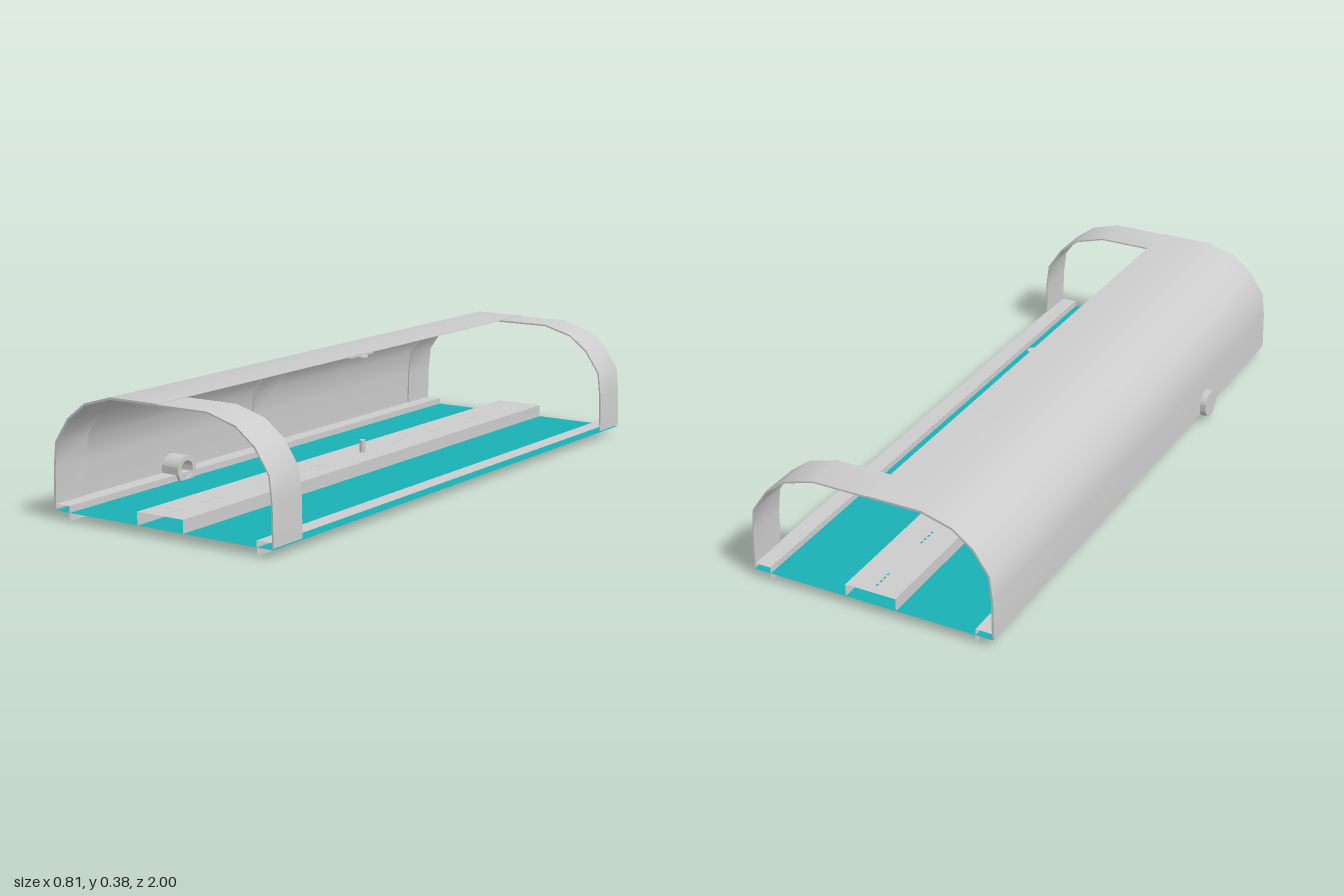
import * as THREE from 'three';
import { toCreasedNormals } from 'three/addons/utils/BufferGeometryUtils.js';

const grey = new THREE.MeshStandardMaterial({ color: 0xcccccc, side: THREE.DoubleSide });
const teal = new THREE.MeshStandardMaterial({ color: 0x1ab0b5, side: THREE.DoubleSide });
const dark = new THREE.MeshStandardMaterial({ color: 0x111111, side: THREE.DoubleSide });

const CX = 0.0075; // centre line of the frame
// half of the arch, from foot to crown: distance from centre line, height
const HALF = [[0.396, 0.03], [0.394, 0.15], [0.385, 0.23], [0.336, 0.303], [0.271, 0.353], [0.173, 0.381]];
const LEFT_HALF = [...HALF.map(([u, y]) => [CX - u, y]), [0.005, 0.381]];
const FULL = [...HALF.map(([u, y]) => [CX - u, y]), ...HALF.map(([u, y]) => [CX + u, y]).reverse()];

// move a path inward by d
function inset(path, d) {
  return path.map(([x, y], i) => {
    const a = path[Math.max(i - 1, 0)], b = path[Math.min(i + 1, path.length - 1)];
    const dx = b[0] - a[0], dy = b[1] - a[1], len = Math.hypot(dx, dy);
    return new THREE.Vector2(x + (dy / len) * d, y - (dx / len) * d);
  });
}

// curved sheet following a path, between two inset depths and two z positions
function band(path, d0, d1, z0, z1) {
  const shape = new THREE.Shape([...inset(path, d0), ...inset(path, d1).reverse()]);
  const geo = new THREE.ExtrudeGeometry(shape, { depth: z1 - z0, bevelEnabled: false });
  return toCreasedNormals(geo.translate(0, 0, z0), 0.65);
}

export function createModel() {
  const group = new THREE.Group();
  const add = (name, geo, mat = grey) => {
    const mesh = new THREE.Mesh(geo, mat);
    mesh.name = name;
    group.add(mesh);
    return mesh;
  };
  // thin sheets running the full length
  const flat = (name, width, x, y, mat) =>
    add(name, new THREE.PlaneGeometry(width, 2).rotateX(-Math.PI / 2).translate(x, y, 0), mat);
  const upright = (name, x, y0, y1) =>
    add(name, new THREE.PlaneGeometry(2, y1 - y0).rotateY(Math.PI / 2).translate(x, (y0 + y1) / 2, 0));

  // base plate
  flat('basePlate', 0.784, CX, 0.025, teal);

  // edge rails and channel walls, mirrored about the centre line
  for (const [side, s] of [['left', 1], ['right', -1]]) {
    flat(side + 'RailFlange', 0.0545, CX + s * 0.365, 0.045);
    upright(side + 'RailLeg', CX + s * 0.3375, 0, 0.045);
    upright(side + 'ChannelWall', CX + s * 0.0825, 0.025, 0.065);
  }

  // channel top with groups of small slots
  const top = new THREE.Shape();
  top.moveTo(-0.0825, -1).lineTo(0.0825, -1).lineTo(0.0825, 1).lineTo(-0.0825, 1).closePath();
  for (const z of [-0.93, -0.77, -0.5, -0.25, 0.2, 0.42, 0.68, 0.93]) {
    for (let i = 0; i < 4; i++) {
      const c = z + (i - 1.5) * 0.02;
      const slot = new THREE.Path();
      slot.moveTo(-0.003, c - 0.005).lineTo(-0.003, c + 0.005).lineTo(0.003, c + 0.005).lineTo(0.003, c - 0.005).closePath();
      top.holes.push(slot);
    }
  }
  add('channelTop', new THREE.ShapeGeometry(top).rotateX(-Math.PI / 2).translate(CX, 0.065, 0));

  // centre pin and the small bush above it
  add('centrePin', new THREE.CylinderGeometry(0.0095, 0.0095, 0.08, 16).translate(CX, 0.065, 0));
  add('ceilingBush', new THREE.CylinderGeometry(0.017, 0.017, 0.005, 16).translate(CX, 0.3735, 0));

  // curved cover and the arched bands beneath it
  add('cover', band(LEFT_HALF, 0, 0.002, -1, 1));
  add('frontArch', band(FULL, 0.002, 0.007, 0.868, 1));
  add('backArch', band(FULL, 0.002, 0.007, -1, -0.868));
  add('middleRib', band(LEFT_HALF, 0.002, 0.007, -0.066, 0.066));

  // side port: short tube along x, closed on the outside
  const portProfile = [[0, 0], [0.0435, 0], [0.0435, 0.088], [0.028, 0.088], [0.028, 0.02]]
    .map(([r, h]) => new THREE.Vector2(r, h));
  const port = toCreasedNormals(new THREE.LatheGeometry(portProfile, 32), 0.6);
  add('sidePort', port.rotateZ(-Math.PI / 2).translate(-0.409, 0.0565, 0.478));
  add('sidePortBore', new THREE.CircleGeometry(0.028, 32).rotateY(Math.PI / 2).translate(-0.388, 0.0565, 0.478), dark);

  return group;
}
